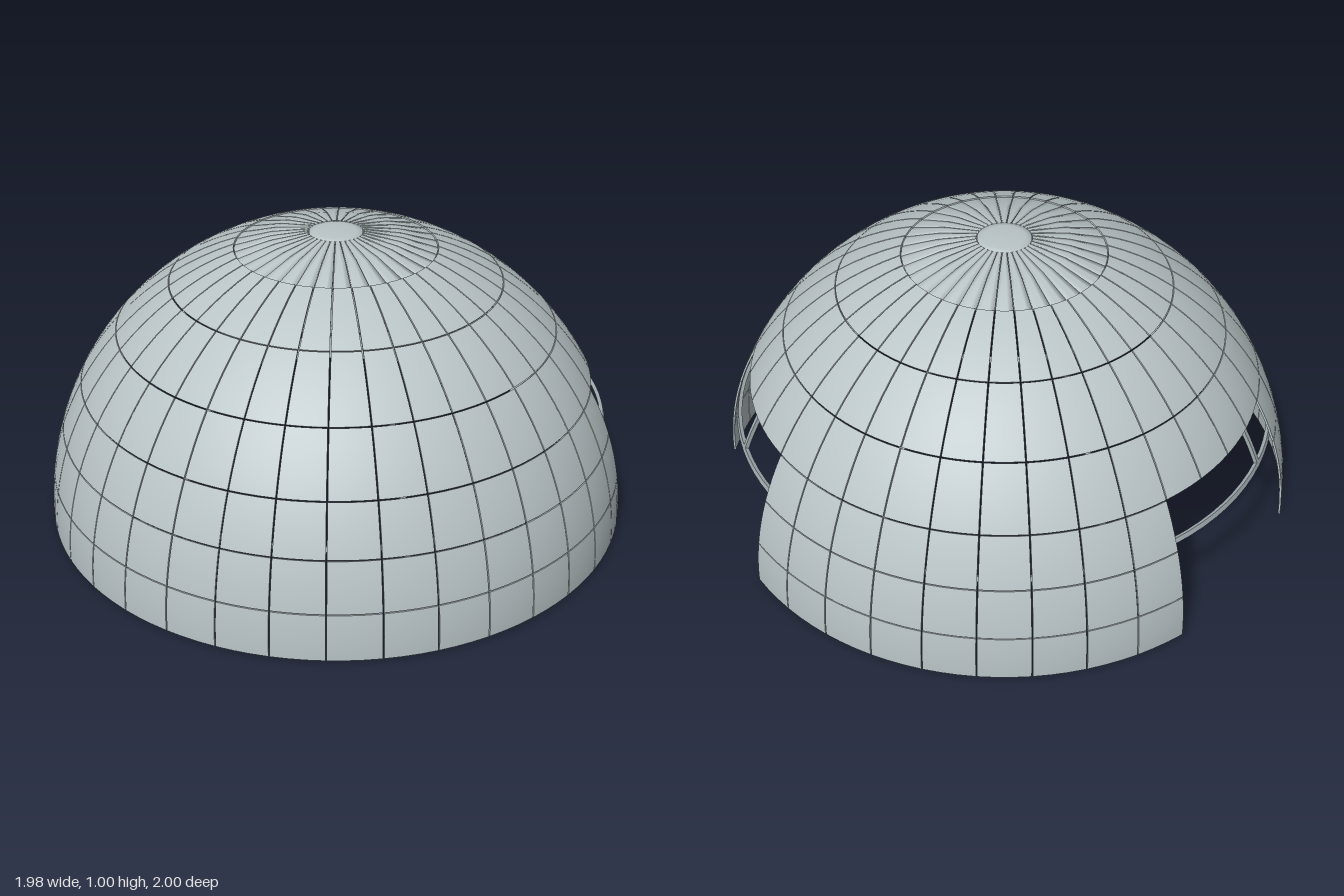
import * as THREE from 'three';
import { mergeGeometries, mergeVertices } from 'three/addons/utils/BufferGeometryUtils.js';

const RAD = Math.PI / 180;

// Solid patch of a spherical shell: a box bent into azimuth, elevation and radius.
// halfWidth(e) gives half the azimuth span at elevation e (radians).
function shellPatch(azimuth, halfWidth, e0, e1, r0, r1, nx, ny, pillow = false) {
  let g = new THREE.BoxGeometry(2, 1, 1, nx, ny, 1);
  const p = g.attributes.position;
  for (let i = 0; i < p.count; i++) {
    const e = THREE.MathUtils.lerp(e0, e1, p.getY(i) + 0.5) * RAD;
    const t = azimuth * RAD + p.getX(i) * halfWidth(e);
    const r = THREE.MathUtils.lerp(r0, r1, p.getZ(i) + 0.5);
    p.setXYZ(i, r * Math.cos(e) * Math.sin(t), r * Math.sin(e), r * Math.cos(e) * Math.cos(t));
  }
  g.deleteAttribute('uv');
  if (pillow) {
    g.deleteAttribute('normal');
    g = mergeVertices(g, 1e-5);
    g.computeVertexNormals();
    return g;
  }
  g.computeVertexNormals();
  // Exact radial normals on the outer and inner skins
  const n = g.attributes.normal, v = new THREE.Vector3();
  const skin = (nx + 1) * (ny + 1);
  for (let i = p.count - 2 * skin; i < p.count; i++) {
    v.fromBufferAttribute(p, i).normalize();
    if (i >= p.count - skin) v.negate();
    n.setXYZ(i, v.x, v.y, v.z);
  }
  return g;
}

export function createModel() {
  const model = new THREE.Group();
  model.name = 'panelledDome';
  const dome = new THREE.Group();
  dome.name = 'dome';
  dome.position.x = -0.0075;
  model.add(dome);

  const panelMat = new THREE.MeshStandardMaterial({ color: 0xb9c4c7 });
  panelMat.name = 'panel grey';
  const frameMat = new THREE.MeshStandardMaterial({ color: 0xa0abb0 });
  frameMat.name = 'frame grey';

  const add = (name, parts, mat) => {
    const mesh = new THREE.Mesh(parts.length > 1 ? mergeGeometries(parts) : parts[0], mat);
    mesh.name = name;
    dome.add(mesh);
  };

  // Two doorways, each four panels wide and three rows high
  const inDoorway = (a) => (a > 110 && a < 150) || (a > 240 && a < 280);
  const gap = 0.002;
  const panelHalf = (e) => 5 * RAD - gap / Math.cos(e);

  // Rows of curved panels with hairline gaps
  const rows = [0.25, 9.5, 19.3, 29.4, 42, 56, 70.2];
  for (let r = 0; r < rows.length - 1; r++) {
    const parts = [];
    for (let a = 5; a < 360; a += 10) {
      if (r < 3 && inDoorway(a)) continue;
      parts.push(shellPatch(a, panelHalf, rows[r] + 0.1, rows[r + 1] - 0.1, 0.993, 1, 3, 4));
    }
    add(`panelRow${r + 1}`, parts, panelMat);
  }

  // Crown of narrow pillowed wedges
  const crown = [];
  for (let a = 5; a < 360; a += 10) {
    crown.push(shellPatch(a, (e) => 5 * RAD - 0.001 / Math.cos(e), 70.2, 84.7, 0.98, 0.996, 3, 2, true));
  }
  add('crownPanels', crown, panelMat);

  // Small round hub at the apex
  const hubProfile = [
    [0.087, 0.98], [0.09, 0.99], [0.07, 0.993], [0.045, 0.9945], [0.02, 0.9955], [0, 0.996],
  ].map(([x, y]) => new THREE.Vector2(x, y));
  add('apexHub', [new THREE.LatheGeometry(hubProfile, 36)], panelMat);
  const hubUnder = new THREE.CircleGeometry(0.087, 36).rotateX(Math.PI / 2).translate(0, 0.98, 0);
  add('apexHubUnderside', [hubUnder], panelMat);

  // Inner ribs every 45 degrees; those over doorways stop at the lower ring
  const ribs = [];
  for (let a = 0; a < 360; a += 45) {
    ribs.push(shellPatch(a, (e) => 0.009 / Math.cos(e), inDoorway(a) ? 21.3 : 0, 70.5, 0.979, 0.992, 1, 24));
  }
  add('ribs', ribs, frameMat);

  // Two inner hoops
  for (const [name, e] of [['lowerRing', 21.2], ['upperRing', 60.5]]) {
    add(name, [shellPatch(0, () => Math.PI, e - 0.5, e + 0.5, 0.979, 0.992, 96, 1)], frameMat);
  }
  return model;
}
